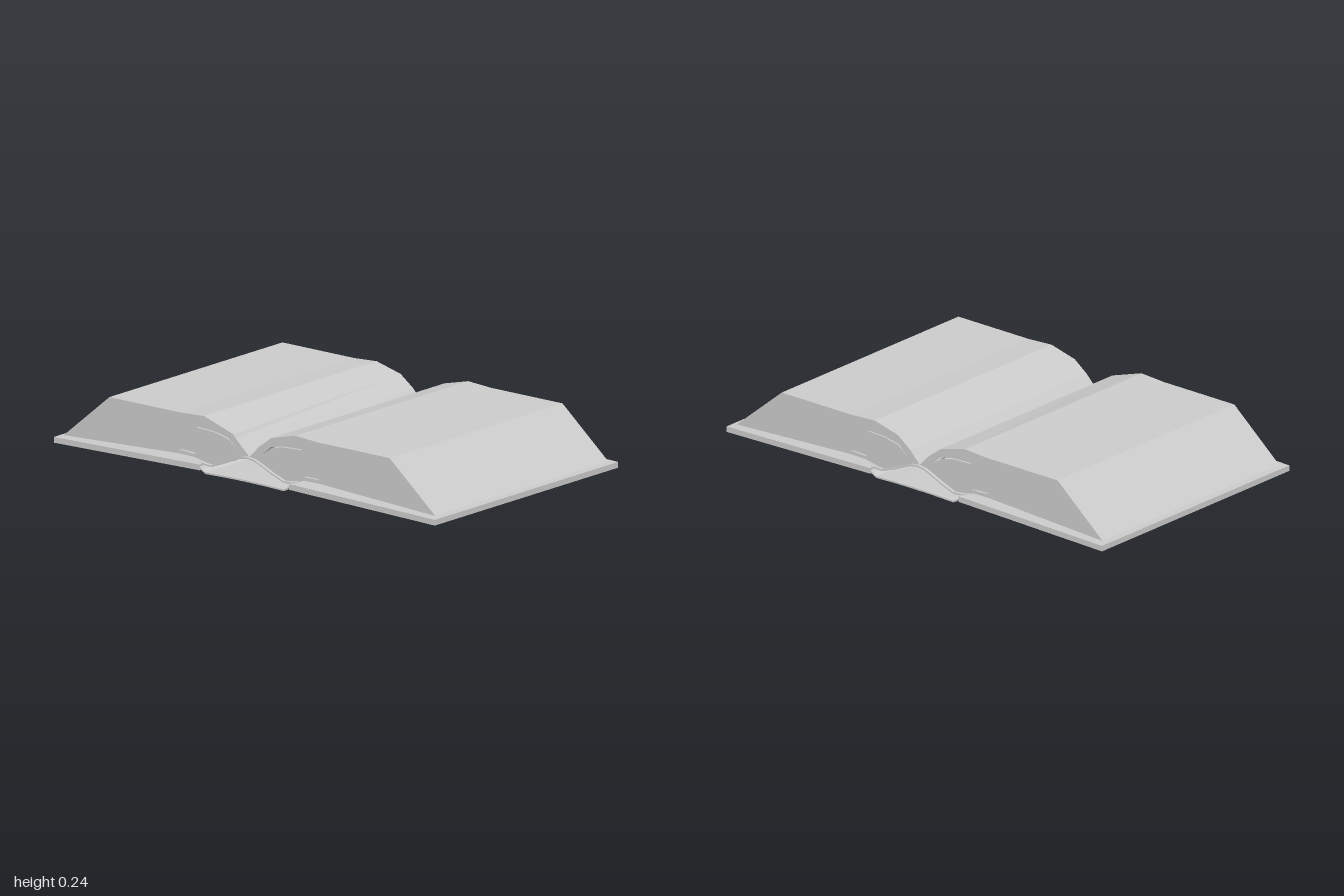
import * as THREE from 'three';

const material = new THREE.MeshStandardMaterial({ color: 0xcccccc, flatShading: true });

const shapeOf = (points) => new THREE.Shape(points.map(([x, y]) => new THREE.Vector2(x, y)));
const flip = (points, side) => points.map(([x, y]) => [x * side, y]);

// Extrudes an x-y section along z, centred on z = 0
function section(name, points, halfDepth, holes = []) {
  const shape = shapeOf(points);
  shape.holes = holes.map(shapeOf);
  const geometry = new THREE.ExtrudeGeometry(shape, { depth: halfDepth * 2, bevelEnabled: false });
  geometry.translate(0, 0, -halfDepth);
  const mesh = new THREE.Mesh(geometry, material);
  mesh.name = name;
  return mesh;
}

// Closed band of constant thickness following a line of points
function band(line, thickness) {
  return [...line, ...line.map(([x, y]) => [x, y + thickness]).reverse()];
}

export function createModel() {
  const book = new THREE.Group();
  book.name = 'openBook';

  const board = [[0.235, 0.017], [1, 0], [1, 0.024], [0.235, 0.041]];
  const pages = [
    [0, 0.107], [0.05, 0.097], [0.12, 0.067], [0.19, 0.04], [0.23, 0.045], [0.29, 0.057], [0.37, 0.058],
    [0.975, 0.029], [0.735, 0.23], [0.36, 0.23], [0.24, 0.237], [0.115, 0.206], [0.05, 0.158],
  ];
  // Narrow gaps between bundles of leaves
  const slits = [
    [[0.065, 0.128], [0.115, 0.163], [0.18, 0.178], [0.275, 0.182], [0.275, 0.186], [0.18, 0.182], [0.113, 0.168]],
    [[0.285, 0.07], [0.365, 0.074], [0.365, 0.078], [0.285, 0.076]],
  ];

  for (const side of [1, -1]) {
    const label = side > 0 ? 'left' : 'right';
    book.add(section(label + 'CoverBoard', flip(board, side), 0.58));
    const block = section(label + 'PageBlock', flip(pages, side), 0.547, slits.map((s) => flip(s, side)));
    if (side < 0) {
      // The gutter folds of this page run at a slant toward the front
      const p = block.geometry.attributes.position;
      for (let i = 0; i < p.count; i++) {
        if (p.getZ(i) < 0) continue;
        const x = p.getX(i), y = p.getY(i);
        if (Math.abs(x + 0.115) < 0.001 && y > 0.2) p.setXY(i, -0.085, 0.187);
        if (Math.abs(x + 0.05) < 0.001 && y > 0.15) p.setXY(i, -0.072, 0.171);
      }
      block.geometry.computeVertexNormals();
    }
    book.add(block);
  }

  // Arched lining that holds the pages at the gutter
  const arch = [[0.245, 0.037], [0.19, 0.034], [0.12, 0.06], [0.07, 0.082], [0.035, 0.096]];
  const archLine = [...flip(arch, -1), [0, 0.101], ...[...arch].reverse()];
  book.add(section('spineLining', band(archLine, 0.007), 0.56));

  // Flexible spine joining the two boards
  const spine = [[0.24, 0.031], [0.225, 0.016], [0.205, 0.006], [0.1, 0.009]];
  const spineLine = [...flip(spine, -1), [0, 0.01], ...[...spine].reverse()];
  book.add(section('spineCover', band(spineLine, 0.007), 0.578));

  return book;
}
